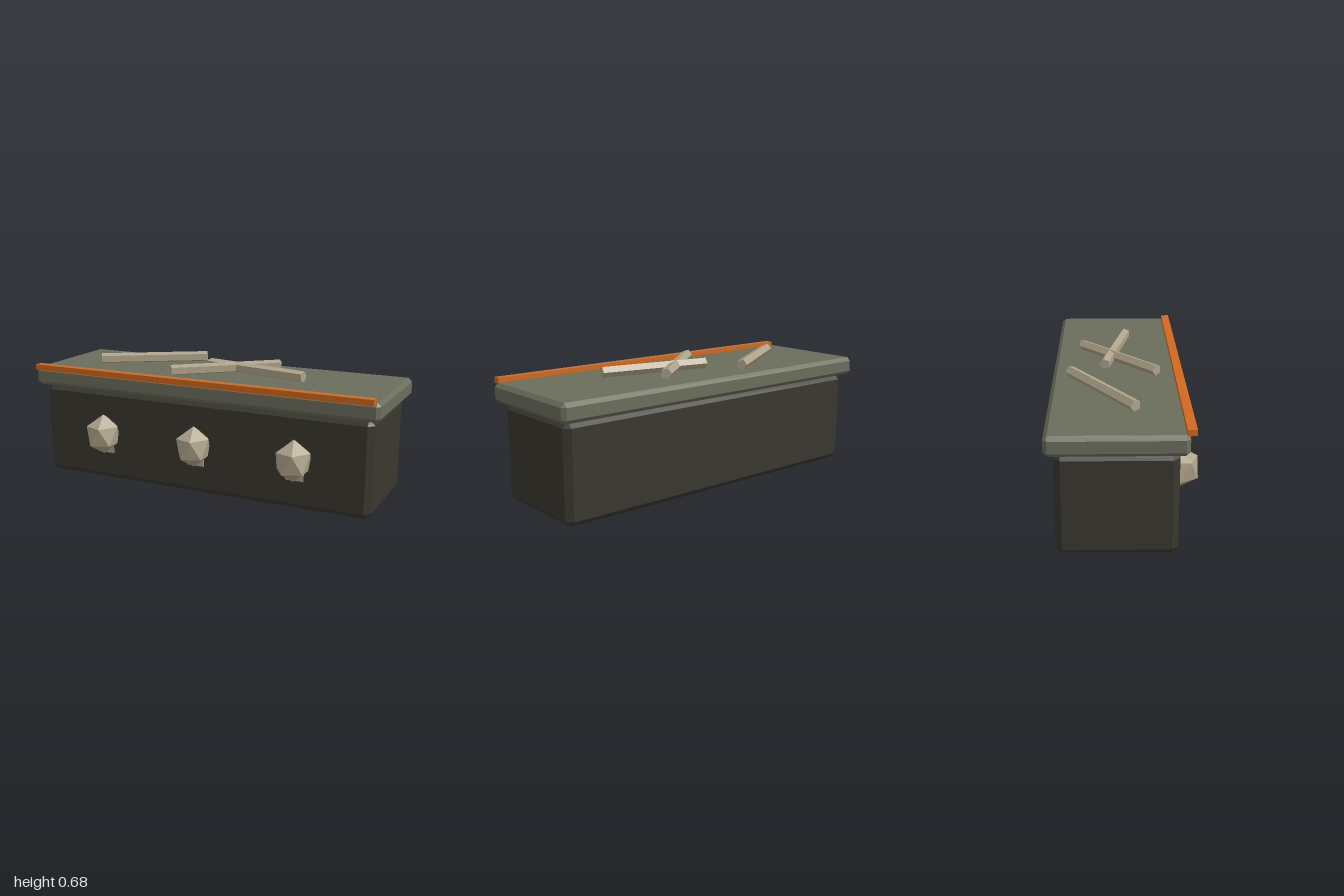
import * as THREE from 'three';
import { ConvexGeometry } from 'three/addons/geometries/ConvexGeometry.js';

const material = (name, color) => {
  const m = new THREE.MeshStandardMaterial({ color });
  m.name = name;
  return m;
};

// Box with flat chamfers on every edge
function chamferBox(w, h, d, c) {
  const points = [];
  for (const x of [-1, 1]) for (const y of [-1, 1]) for (const z of [-1, 1]) {
    for (let axis = 0; axis < 3; axis++) {
      const inset = [c, c, c];
      inset[axis] = 0;
      points.push(new THREE.Vector3(
        x * (w / 2 - inset[0]), y * (h / 2 - inset[1]), z * (d / 2 - inset[2])));
    }
  }
  return new ConvexGeometry(points);
}

// Twenty-sided ball standing on one corner
function poleIcosahedron() {
  const points = [new THREE.Vector3(0, 1, 0), new THREE.Vector3(0, -1, 0)];
  for (let i = 0; i < 5; i++) {
    const a = i * Math.PI * 2 / 5;
    const x = 0.894 * Math.cos(a), z = 0.894 * Math.sin(a);
    points.push(new THREE.Vector3(x, 0.447, z), new THREE.Vector3(-x, -0.447, z));
  }
  return new ConvexGeometry(points);
}

export function createModel() {
  const model = new THREE.Group();
  model.name = 'altar';
  const darkStone = material('dark stone', 0x39372f);
  const greyStone = material('grey green stone', 0x6b6e5c);
  const cloth = material('orange trim', 0xd0691f);
  const bone = material('bone', 0xafa58b);

  const add = (name, geometry, mat, x, y, z, parent = model) => {
    const mesh = new THREE.Mesh(geometry, mat);
    mesh.name = name;
    mesh.position.set(x, y, z);
    parent.add(mesh);
    return mesh;
  };

  // Block, top slab and front trim
  add('body', chamferBox(1.926, 0.515, 0.573, 0.031), darkStone, 0, 0.2575, -0.039);
  add('topSlab', chamferBox(2, 0.1, 0.655, 0.02), greyStone, 0, 0.565, -0.0395);
  add('frontTrim', new THREE.BoxGeometry(1.95, 0.03, 0.045), cloth, 0, 0.622, 0.2945);

  // Skulls along the front, each with a small jaw
  const skullGeometry = poleIcosahedron();
  const jawGeometry = new THREE.BoxGeometry(0.1, 0.06, 0.06);
  for (const x of [-0.565, 0, 0.565]) {
    const skull = new THREE.Group();
    skull.name = 'skull';
    skull.position.x = x;
    model.add(skull);
    add('cranium', skullGeometry, bone, 0, 0.268, 0.271, skull).scale.set(0.1, 0.112, 0.114);
    add('jaw', jawGeometry, bone, 0, 0.186, 0.221, skull);
  }

  // Five-sided bones lying on the slab: x, z, turn, length
  const bones = [
    [-0.445, -0.11, 0.56, 0.61],
    [0.055, -0.02, 0.7, 0.62],
    [0.22, -0.033, -0.2, 0.61],
  ];
  for (const [x, z, turn, length] of bones) {
    const geometry = new THREE.CylinderGeometry(0.03, 0.03, length, 5, 1, false, Math.PI)
      .toNonIndexed();
    geometry.computeVertexNormals();
    add('looseBone', geometry, bone, x, 0.648, z).rotation.set(0, turn, Math.PI / 2);
  }
  return model;
}
